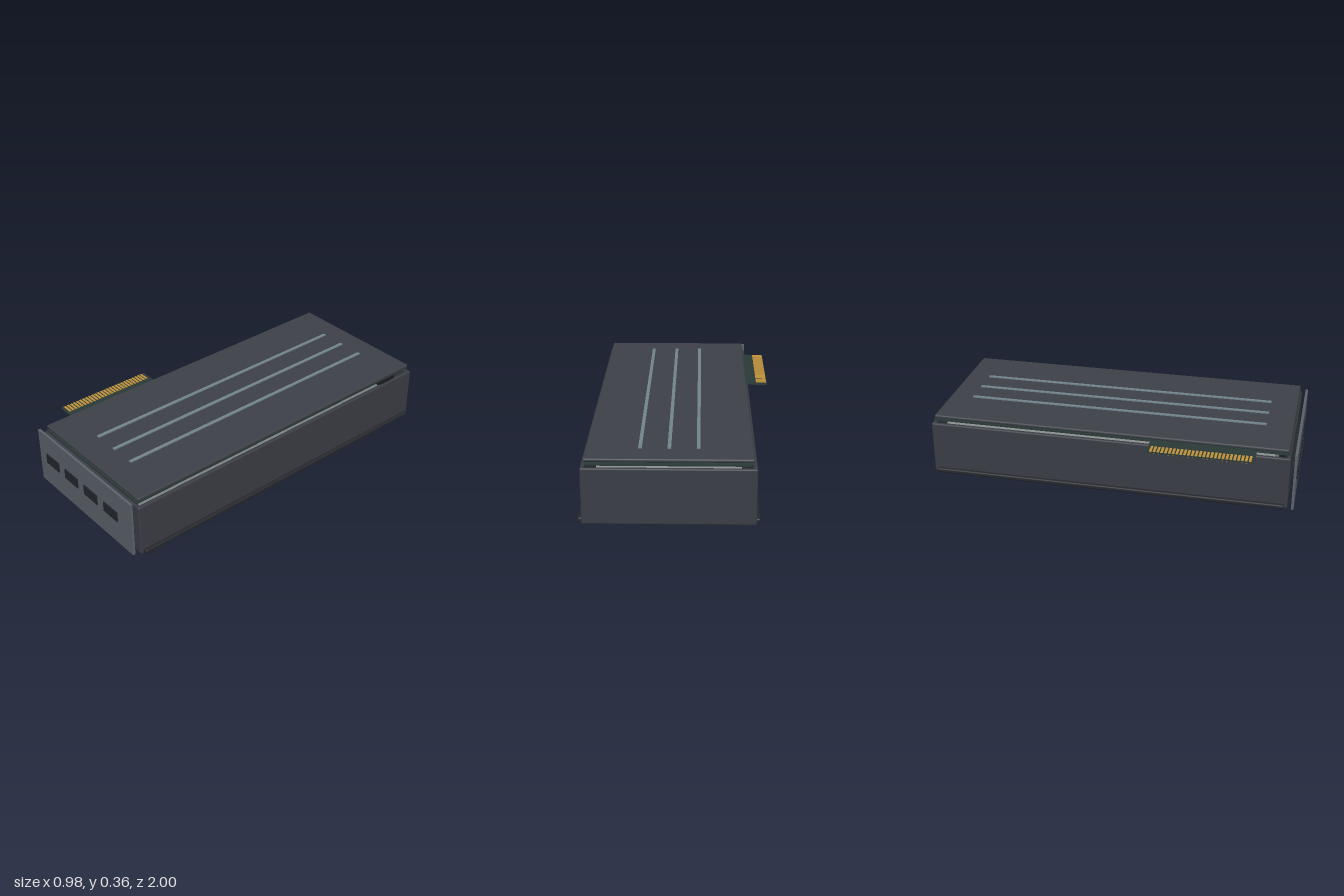
import * as THREE from 'three';
import { RoundedBoxGeometry } from 'three/addons/geometries/RoundedBoxGeometry.js';

const mat = (color, side = THREE.FrontSide) => new THREE.MeshStandardMaterial({ color, side });
const M = {
  plate: mat(0x3d4148), wall: mat(0x3a3d45), strip: mat(0x26282d), bracket: mat(0x5a626b),
  port: mat(0x23272d), board: mat(0x2b3a37), gold: mat(0xc0923a), accent: mat(0x72848c),
  fin: mat(0x9a9fa0), fan: mat(0x222a32), blade: mat(0x2a3036, THREE.DoubleSide), socket: mat(0x1a1b1e),
};

// Box given by its minimum and maximum on each axis; r rounds the edges
function box(parent, name, material, [x0, x1], [y0, y1], [z0, z1], r = 0) {
  const s = [x1 - x0, y1 - y0, z1 - z0];
  const geo = r ? new RoundedBoxGeometry(...s, 2, r) : new THREE.BoxGeometry(...s);
  const mesh = new THREE.Mesh(geo, material);
  mesh.name = name;
  mesh.position.set((x0 + x1) / 2, (y0 + y1) / 2, (z0 + z1) / 2);
  parent.add(mesh);
  return mesh;
}

function group(parent, name) {
  const g = new THREE.Group();
  g.name = name;
  parent.add(g);
  return g;
}

// Swept, pitched blade: radial stations with a leading and a trailing point
function bladeGeometry() {
  const pos = [], index = [], n = 6, across = 3;
  for (let i = 0; i <= n; i++) {
    const t = i / n, r = 0.06 + 0.198 * t;
    const sweep = 0.5 * t * t, span = 0.36 + 0.06 * Math.sin(Math.PI * t);
    for (let j = 0; j <= across; j++) {
      const u = j / across, a = sweep + span * (u - 0.5);
      pos.push(r * Math.cos(a), 0.022 + 0.04 * u, r * Math.sin(a));
      if (i < n && j < across) {
        const k = i * (across + 1) + j, m = k + across + 1;
        index.push(k, m, k + 1, k + 1, m, m + 1);
      }
    }
  }
  const geo = new THREE.BufferGeometry();
  geo.setAttribute('position', new THREE.Float32BufferAttribute(pos, 3));
  geo.setIndex(index);
  geo.computeVertexNormals();
  return geo;
}

function createFan(parent, z, blade) {
  const fan = group(parent, 'fan');
  fan.position.set(0.043, 0, z);

  // Housing ring with a rectangular section
  const section = [[0.262, 0.003], [0.287, 0.003], [0.287, 0.075], [0.272, 0.075], [0.262, 0.003]];
  const ringGeo = new THREE.LatheGeometry(section.map(([x, y]) => new THREE.Vector2(x, y)), 48).toNonIndexed();
  ringGeo.computeVertexNormals();
  const ring = new THREE.Mesh(ringGeo, mat(0x222a32, THREE.DoubleSide));
  ring.name = 'fanRing';
  fan.add(ring);

  // Hub with a stepped cap
  [[0.07, 0.045, 0.04], [0.05, 0.02, 0.012]].forEach(([r, h, y], i) => {
    const hub = new THREE.Mesh(new THREE.CylinderGeometry(r, r * 0.93, h, 32), i ? M.socket : M.fan);
    hub.name = i ? 'hubCap' : 'fanHub';
    hub.position.y = y;
    fan.add(hub);
  });

  for (let i = 0; i < 11; i++) {
    const b = new THREE.Mesh(blade, M.blade);
    b.name = 'fanBlade';
    b.rotation.y = (i / 11) * Math.PI * 2;
    fan.add(b);
  }

  // Three struts holding the hub
  for (let i = 0; i < 3; i++) {
    const arm = group(fan, 'fanStrut');
    arm.rotation.y = (i / 3) * Math.PI * 2 + 0.4;
    box(arm, 'strutBar', M.fan, [0.05, 0.268], [0.006, 0.016], [-0.009, 0.009]);
  }
}

export function createModel() {
  const model = new THREE.Group();
  model.name = 'graphicsCard';

  // Shroud walls, open at the bottom between two edge strips
  const shroud = group(model, 'shroud');
  box(shroud, 'leftWall', M.wall, [0.447, 0.47], [0.02, 0.315], [-1, 0.96], 0.008);
  box(shroud, 'rightWall', M.wall, [-0.385, -0.362], [0.02, 0.315], [-1, 0.96], 0.008);
  box(shroud, 'backWall', M.wall, [-0.375, 0.46], [0.02, 0.315], [-1, -0.978], 0.008);
  box(shroud, 'frontWall', M.wall, [-0.375, 0.46], [0.02, 0.315], [0.938, 0.96], 0.008);
  box(shroud, 'leftStrip', M.strip, [0.36, 0.49], [0.022, 0.047], [-0.982, 0.942], 0.008);
  box(shroud, 'rightStrip', M.strip, [-0.405, -0.275], [0.022, 0.047], [-0.982, 0.942], 0.008);

  // Backplate with three raised lines
  const back = group(model, 'backplate');
  box(back, 'backplatePanel', M.plate, [-0.37, 0.455], [0.341, 0.36], [-0.985, 0.95], 0.008);
  for (const x of [-0.1, 0.043, 0.186])
    box(back, 'accentLine', M.accent, [x - 0.009, x + 0.009], [0.358, 0.366], [-0.855, 0.805]);

  // Circuit board, edge connector and power socket
  const board = group(model, 'circuitBoard');
  box(board, 'boardPanel', M.board, [-0.365, 0.447], [0.326, 0.335], [-0.99, 0.955]);
  box(board, 'edgeConnector', M.board, [-0.492, -0.36], [0.326, 0.334], [0.22, 0.782]);
  for (let i = 0; i < 27; i++) {
    const z = 0.243 + i * 0.0199;
    box(board, 'contactFinger', M.gold, [-0.49, -0.43], [0.324, 0.336], [z - 0.0065, z + 0.0065]);
  }
  box(board, 'powerSocket', M.socket, [0.37, 0.457], [0.305, 0.33], [-0.87, -0.755]);

  // Rear bracket with four ports
  const bracket = group(model, 'bracket');
  box(bracket, 'bracketPlate', M.bracket, [-0.388, 0.448], [0.02, 0.34], [0.98, 0.994]);
  for (let i = 0; i < 4; i++) {
    const x = -0.259 + i * 0.177;
    box(bracket, 'port', M.port, [x - 0.059, x + 0.059], [0.164, 0.222], [0.978, 1]);
  }

  // Heatsink fin stack
  const heatsink = group(model, 'heatsink');
  for (let i = 0; i < 34; i++) {
    const z = -0.93 + i * 0.0545;
    box(heatsink, 'heatsinkFin', M.fin, [-0.31, 0.395], [0.1, 0.305], [z - 0.007, z + 0.007]);
  }
  box(heatsink, 'heatsinkBase', M.fin, [-0.31, 0.395], [0.285, 0.305], [-0.937, 0.876]);

  // Three fans underneath
  const fans = group(model, 'fans');
  const blade = bladeGeometry();
  for (const z of [-0.672, -0.019, 0.644]) createFan(fans, z, blade);

  return model;
}
